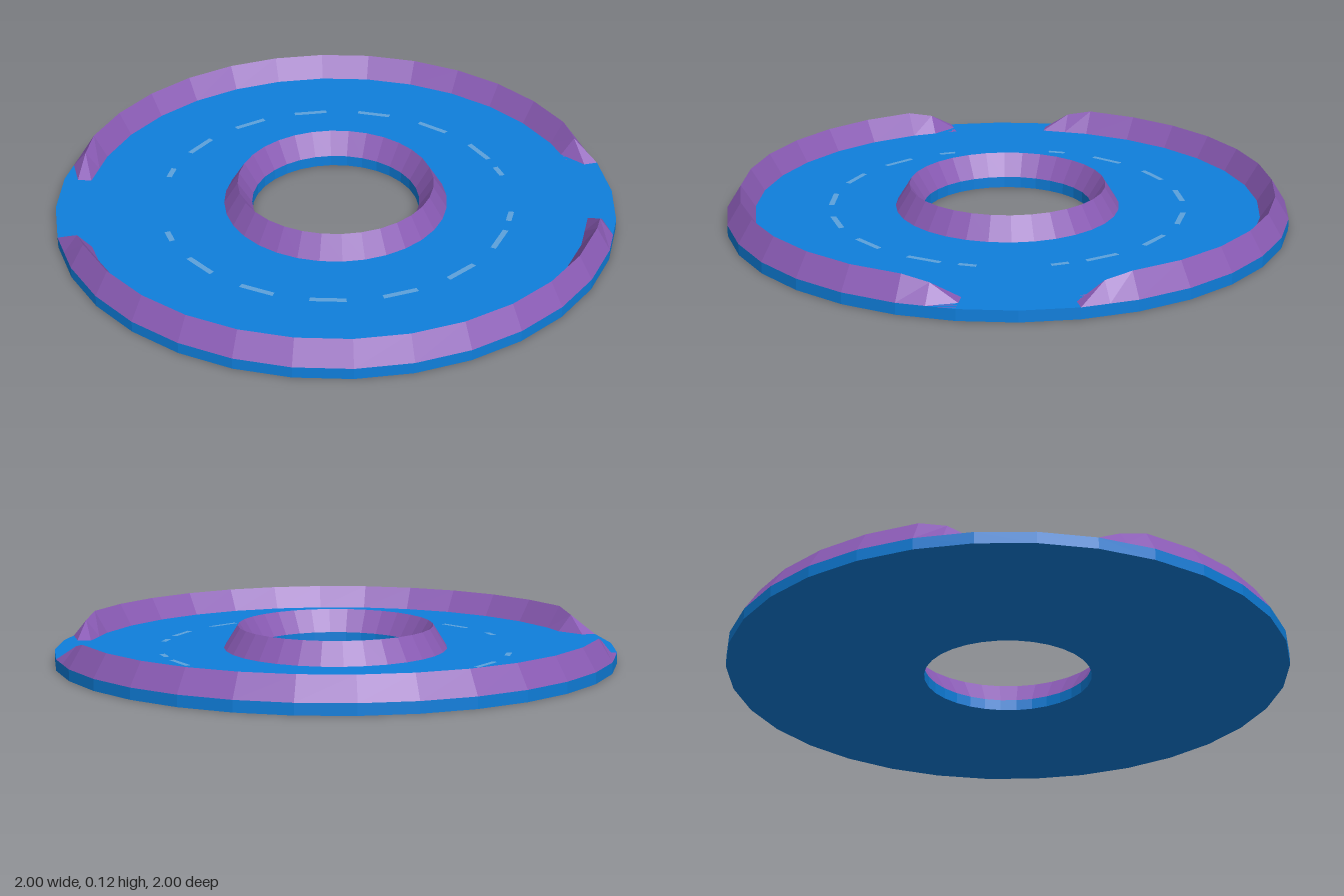
import * as THREE from 'three';

const SIDES = 32;
const ROAD_TOP = 0.04;
const KERB_TOP = 0.12;

const paint = (color) => new THREE.MeshStandardMaterial({ color, flatShading: true });

// Point on the 32-sided ring; fractional steps lie on the straight side
function ringPoint(r, step, y) {
  const at = (k) => {
    const a = (k / SIDES) * Math.PI * 2;
    return new THREE.Vector3(Math.cos(a) * r, y, Math.sin(a) * r);
  };
  const k = Math.floor(step);
  return at(k).lerp(at(k + 1), step - k);
}

// Skin between cross-sections, each listed from the outer to the inner edge
function skin(sections) {
  const n = sections[0].length;
  const index = [];
  for (let i = 0; i < sections.length - 1; i++) {
    for (let j = 0; j < n - 1; j++) {
      const a = i * n + j, b = a + n;
      index.push(a, a + 1, b, a + 1, b + 1, b);
    }
  }
  const g = new THREE.BufferGeometry().setFromPoints(sections.flat());
  g.setIndex(index);
  g.computeVertexNormals();
  return g;
}

function ringLathe(profile) {
  return new THREE.LatheGeometry(profile.map(([r, y]) => new THREE.Vector2(r, y)), SIDES);
}

// Half of the outer kerb, ramping down at both ends
function outerKerb(first) {
  const steps = [0, 0.5];
  for (let k = 1; k <= 13; k++) steps.push(k);
  steps.push(13.5, 14);
  const sections = steps.map((s) => {
    const fromEnd = Math.min(s, 14 - s);
    const top = fromEnd === 0 ? ROAD_TOP : fromEnd === 0.5 ? 0.1 : KERB_TOP;
    return [
      ringPoint(1, first + s, ROAD_TOP),
      ringPoint(0.95, first + s, top),
      ringPoint(0.9, first + s, ROAD_TOP),
    ];
  });
  return skin(sections);
}

export function createModel() {
  const model = new THREE.Group();
  const blue = paint(0x0f7fdc);
  const purple = paint(0x8a5bb5);
  const paleBlue = paint(0x5ca2dc);

  const add = (name, geometry, material, parent = model) => {
    const mesh = new THREE.Mesh(geometry, material);
    mesh.name = name;
    parent.add(mesh);
  };

  // Road disc with a central hole
  add('roadDisc', ringLathe([[0.3, 0], [1, 0], [1, ROAD_TOP], [0.3, ROAD_TOP], [0.3, 0]]), blue);

  // Kerbs
  add('innerKerb', ringLathe([[0.4, ROAD_TOP], [0.35, KERB_TOP], [0.3, ROAD_TOP]]), purple);
  add('frontKerb', outerKerb(1), purple);
  add('backKerb', outerKerb(17), purple);

  // Dashed lane line: full dashes, with a half dash beside each opening
  const laneLine = new THREE.Group();
  laneLine.name = 'laneLine';
  model.add(laneLine);
  const dashes = [[1, 1.5], [14, 14.5]];
  for (let k = 2; k <= 12; k += 2) dashes.push([k, k + 1]);
  const y = 0.042;
  for (const [from, to] of dashes) {
    // front dash and its mirror behind
    for (const [a, b] of [[from, to], [SIDES - to, SIDES - from]]) {
      const sections = [a, b].map((s) => [ringPoint(0.64, s, y), ringPoint(0.62, s, y)]);
      add('laneDash', skin(sections), paleBlue, laneLine);
    }
  }

  return model;
}
